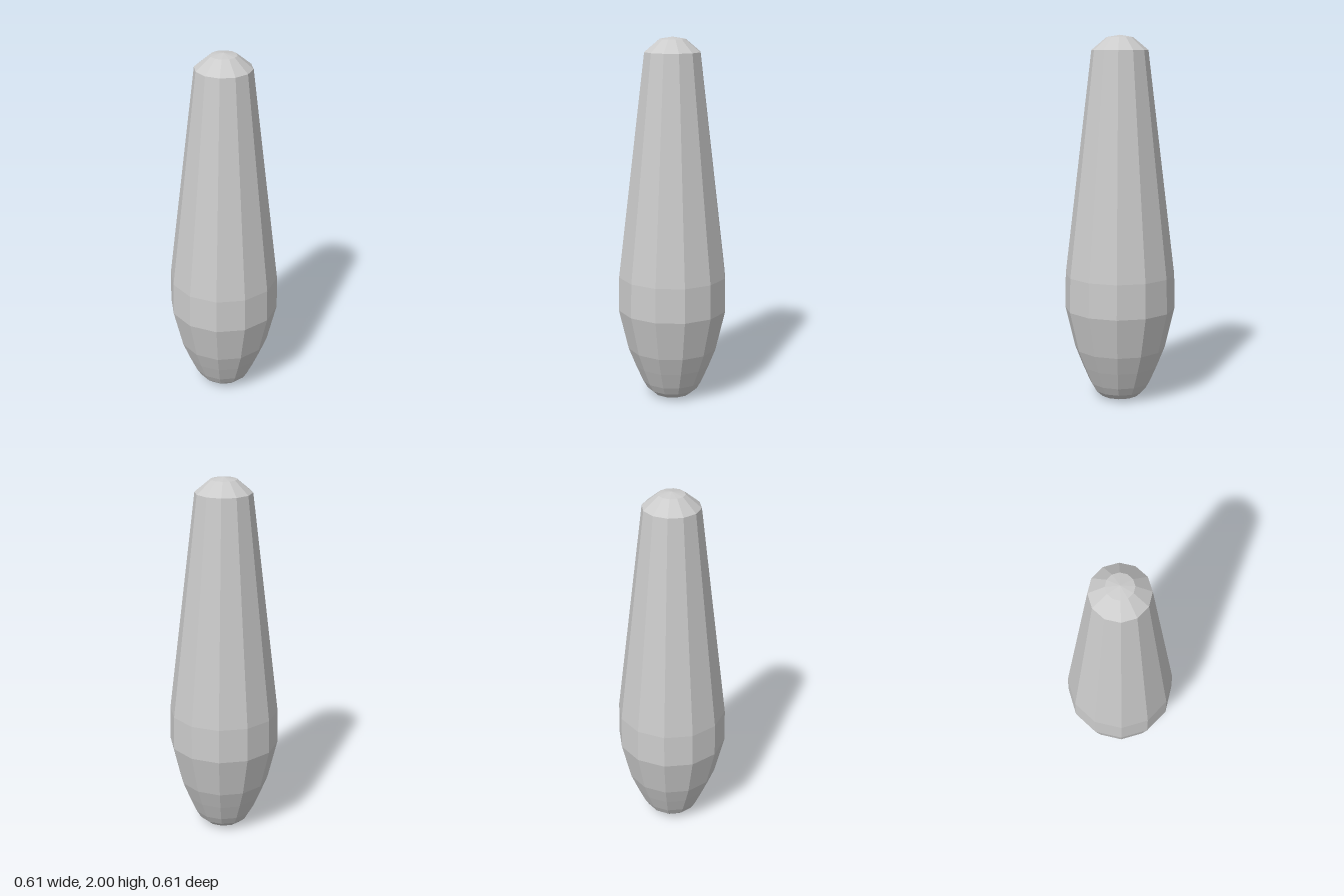
import * as THREE from 'three';

const SIDES = 12;

export function createModel() {
  const group = new THREE.Group();
  group.name = 'taperedClub';
  const material = new THREE.MeshStandardMaterial({ color: 0xcccccc, flatShading: true });

  // Turns a [radius, height] profile into a faceted solid
  const turned = (name, profile) => {
    const points = profile.map(([r, y]) => new THREE.Vector2(r, y));
    const mesh = new THREE.Mesh(new THREE.LatheGeometry(points, SIDES), material);
    mesh.name = name;
    group.add(mesh);
  };

  // Rounded base swelling to the belly, then a long straight taper
  turned('body', [
    [0, 0], [0.07, 0.003], [0.107, 0.013], [0.143, 0.045], [0.169, 0.09],
    [0.21, 0.185], [0.25, 0.286], [0.303, 0.51], [0.3, 0.7], [0.153, 1.92],
  ]);

  // Bevelled cap with a shallow point
  turned('cap', [[0.153, 1.92], [0.071, 1.988], [0, 2]]);

  return group;
}
